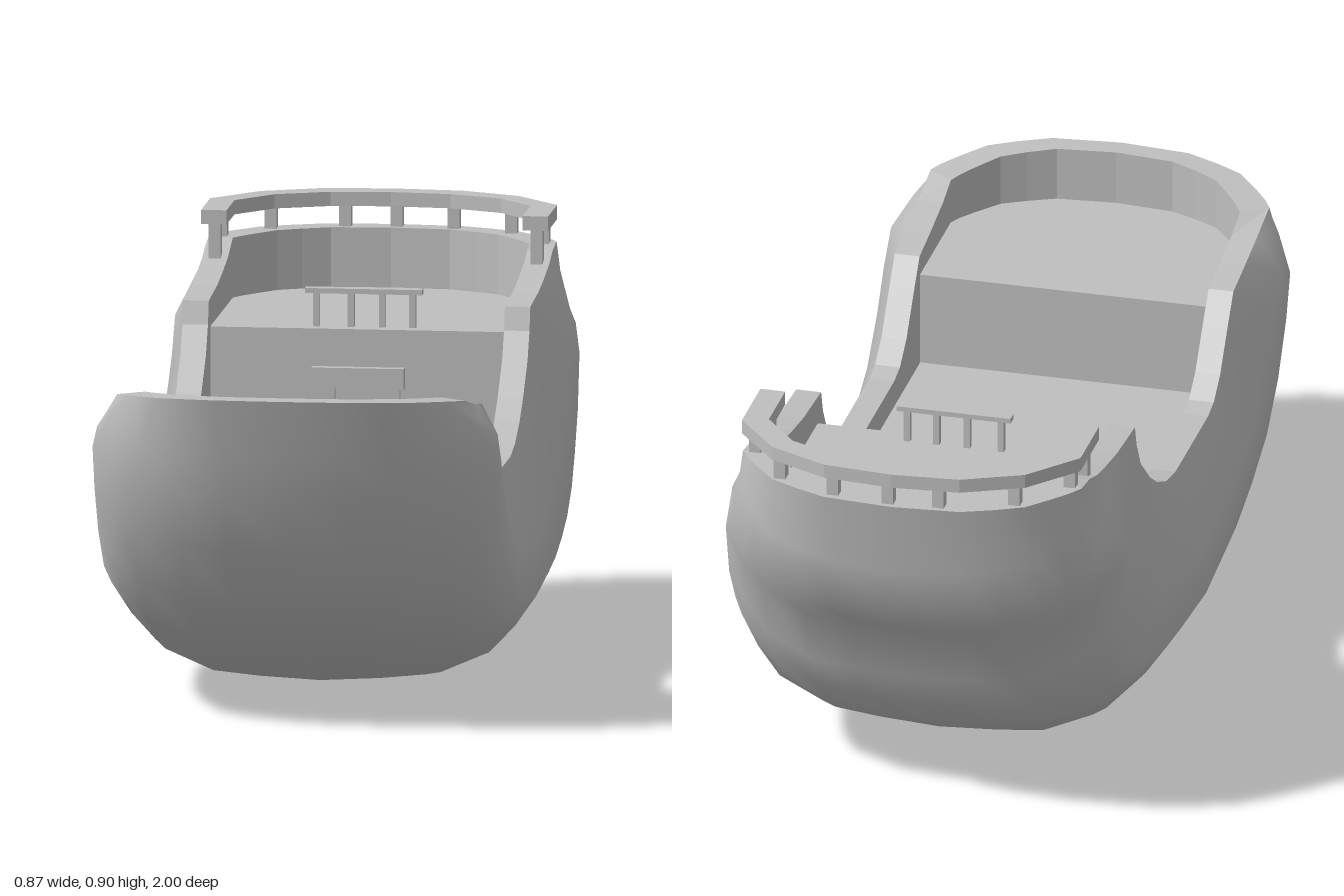
import * as THREE from 'three';

const grey = new THREE.MeshStandardMaterial({ color: 0xbfbfbf, side: THREE.DoubleSide });
grey.name = 'plain grey';

// Ribs from stern to bow: keel z, keel y, sheer z, sheer y, fullness
const RIBS = [
  [-1, 0.82, -0.81, 0.82, 0], [-0.97, 0.65, -0.74, 0.81, 0.3], [-0.94, 0.51, -0.68, 0.79, 0.65],
  [-0.83, 0.44, -0.6, 0.775, 1], [-0.8, 0.32, -0.5, 0.76, 1], [-0.74, 0.23, -0.42, 0.755, 1],
  [-0.68, 0.16, -0.35, 0.75, 1], [-0.58, 0.1, -0.335, 0.7, 1], [-0.46, 0.06, -0.3, 0.64, 1],
  [-0.35, 0.035, -0.22, 0.57, 1], [-0.2, 0.017, -0.16, 0.53, 1], [-0.08, 0.008, -0.08, 0.495, 1],
  [0.05, 0, 0, 0.48, 1], [0.3, 0.035, 0.28, 0.48, 1], [0.5, 0.09, 0.33, 0.49, 1],
  [0.67, 0.17, 0.385, 0.53, 1], [0.78, 0.27, 0.455, 0.62, 1], [0.87, 0.4, 0.5, 0.675, 1],
  [0.92, 0.52, 0.6, 0.69, 1], [0.96, 0.62, 0.7, 0.708, 0.6], [1, 0.75, 0.81, 0.73, 0],
];
// Half sections as [half width, distance from keel]; the last point sits on the sheer
const END = [[0, 0], [0.15, 0.012], [0.22, 0.04], [0.28, 0.07], [0.32, 0.115], [0.345, 0.145], [0.36, 0.165], [0.375, 0]];
const FULL = [[0, 0], [0.13, 0.007], [0.23, 0.017], [0.335, 0.062], [0.39, 0.12], [0.435, 0.185], [0.433, 0], [0.375, 0]];

const MAIN_Y = 0.42, BOW_Y = 0.63, STERN_Y = 0.69;

function ribPoints([kz, ky, sz, sy, full]) {
  const length = Math.hypot(sz - kz, sy - ky);
  const half = END.map(([ex, ed], k) => {
    let fd = FULL[k][1];
    if (k === 6) fd = 0.185 + 0.4 * (length - 0.185);
    const d = k === 7 ? length : THREE.MathUtils.lerp(ed, fd, full);
    const x = THREE.MathUtils.lerp(ex, FULL[k][0], full);
    return [x, ky + (sy - ky) * d / length, kz + (sz - kz) * d / length];
  });
  const mirrored = half.slice(1).reverse().map(([x, y, z]) => [-x, y, z]);
  return [...mirrored, ...half];
}

// Surface through rows of points
function loft(rows, smooth) {
  const n = rows[0].length, index = [];
  for (let i = 0; i < rows.length - 1; i++) {
    for (let j = 0; j < n - 1; j++) {
      const a = i * n + j, c = a + n;
      index.push(a, a + 1, c, a + 1, c + 1, c);
    }
  }
  let g = new THREE.BufferGeometry();
  g.setAttribute('position', new THREE.Float32BufferAttribute(rows.flat(2), 3));
  g.setIndex(index);
  if (!smooth) g = g.toNonIndexed();
  g.computeVertexNormals();
  return g;
}

// Flat or raised plate from an outline of [x, z]
function plate(points, y, height = 0) {
  const shape = new THREE.Shape(points.map(([x, z]) => new THREE.Vector2(x, -z)));
  const g = height
    ? new THREE.ExtrudeGeometry(shape, { depth: height, bevelEnabled: false })
    : new THREE.ShapeGeometry(shape);
  return g.rotateX(-Math.PI / 2).translate(0, y, 0);
}

const mirrorX = (half) => [...half, ...half.slice(0, -1).reverse().map(([x, z]) => [-x, z])];

export function createModel() {
  const ship = new THREE.Group();
  ship.name = 'ship';
  const add = (name, geometry, parent = ship) => {
    const mesh = new THREE.Mesh(geometry, grey);
    mesh.name = name;
    parent.add(mesh);
    return mesh;
  };
  const box = (name, w, h, d, x, y, z, parent) =>
    add(name, new THREE.BoxGeometry(w, h, d), parent).position.set(x, y, z);
  const group = (name) => {
    const g = new THREE.Group();
    g.name = name;
    ship.add(g);
    return g;
  };

  // Hull shell
  const ribs = RIBS.map(ribPoints);
  add('hull', loft(ribs, true));

  // Rim and inner bulwark follow the edge of the hull
  const inset = ([x, y, z], isEnd) => [x * 0.32 / 0.375, y, isEnd ? z * 0.95 : z];
  const sides = ribs.slice(1, -1);
  const stern = ribs[0], bow = [...ribs[ribs.length - 1]].reverse();
  const right = sides.map((r) => r[r.length - 1]);
  const left = sides.map((r) => r[0]).reverse();
  const outer = [...stern, ...right, ...bow, ...left, stern[0]];
  const inner = [
    ...stern.map((p) => inset(p, true)), ...right.map((p) => inset(p)),
    ...bow.map((p) => inset(p, true)), ...left.map((p) => inset(p)), inset(stern[0], true),
  ];
  const foot = inner.map(([x, , z]) => [x, z > 0.55 ? BOW_Y : z < -0.45 ? STERN_Y : MAIN_Y, z]);
  add('rim', loft([inner, outer], false));
  add('bulwark', loft([foot, inner], false));

  // Decks and the bulkheads between them
  const deckHalf = (z0, s) => mirrorX([[0.32, z0], [0.32, s * 0.78], [0.24, s * 0.885], [0.128, s * 0.94], [0, s * 0.95]]);
  add('bowDeck', plate(deckHalf(0.505, 1), BOW_Y));
  add('sternDeck', plate(deckHalf(-0.38, -1), STERN_Y));
  add('mainDeck', plate([[-0.32, -0.4], [0.32, -0.4], [0.32, 0.52], [-0.32, 0.52]], MAIN_Y));
  box('bowBulkhead', 0.64, BOW_Y - MAIN_Y, 0.02, 0, (BOW_Y + MAIN_Y) / 2 - 0.001, 0.515);
  box('sternBulkhead', 0.64, STERN_Y - MAIN_Y, 0.02, 0, (STERN_Y + MAIN_Y) / 2 - 0.001, -0.391);

  // Door frame
  const door = group('doorFrame');
  for (const s of [-1, 1]) box('doorJamb', 0.04, 0.15, 0.02, s * 0.07, MAIN_Y + 0.075, -0.377, door);
  box('doorLintel', 0.2, 0.045, 0.03, 0, MAIN_Y + 0.165, -0.375, door);

  // Small rail above the door
  const smallRail = group('smallRail');
  box('smallRailTop', 0.253, 0.011, 0.024, 0.008, 0.768, -0.412, smallRail);
  for (const x of [-0.095, -0.02, 0.048, 0.113]) box('smallRailPost', 0.014, 0.08, 0.014, x, 0.725, -0.412, smallRail);

  // Curved stern rail on posts
  const sternRail = group('sternRail');
  const railOuter = mirrorX([[0.375, -0.66], [0.375, -0.82], [0.28, -0.93], [0.15, -0.988], [0, -1]]);
  const railInner = mirrorX([[0.32, -0.66], [0.32, -0.8], [0.245, -0.89], [0.13, -0.938], [0, -0.95]]);
  add('sternRailTop', plate([...railOuter, ...railInner.reverse()], 0.866, 0.031), sternRail);
  const posts = [
    [0.01, -0.975], [0.135, -0.962], [-0.1, -0.967], [0.265, -0.912], [-0.255, -0.915],
    [0.348, -0.8], [-0.348, -0.8], [0.348, -0.69], [-0.348, -0.69],
  ];
  for (const [x, z] of posts) box('sternRailPost', 0.026, 0.09, 0.026, x, 0.825, z, sternRail);

  return ship;
}
